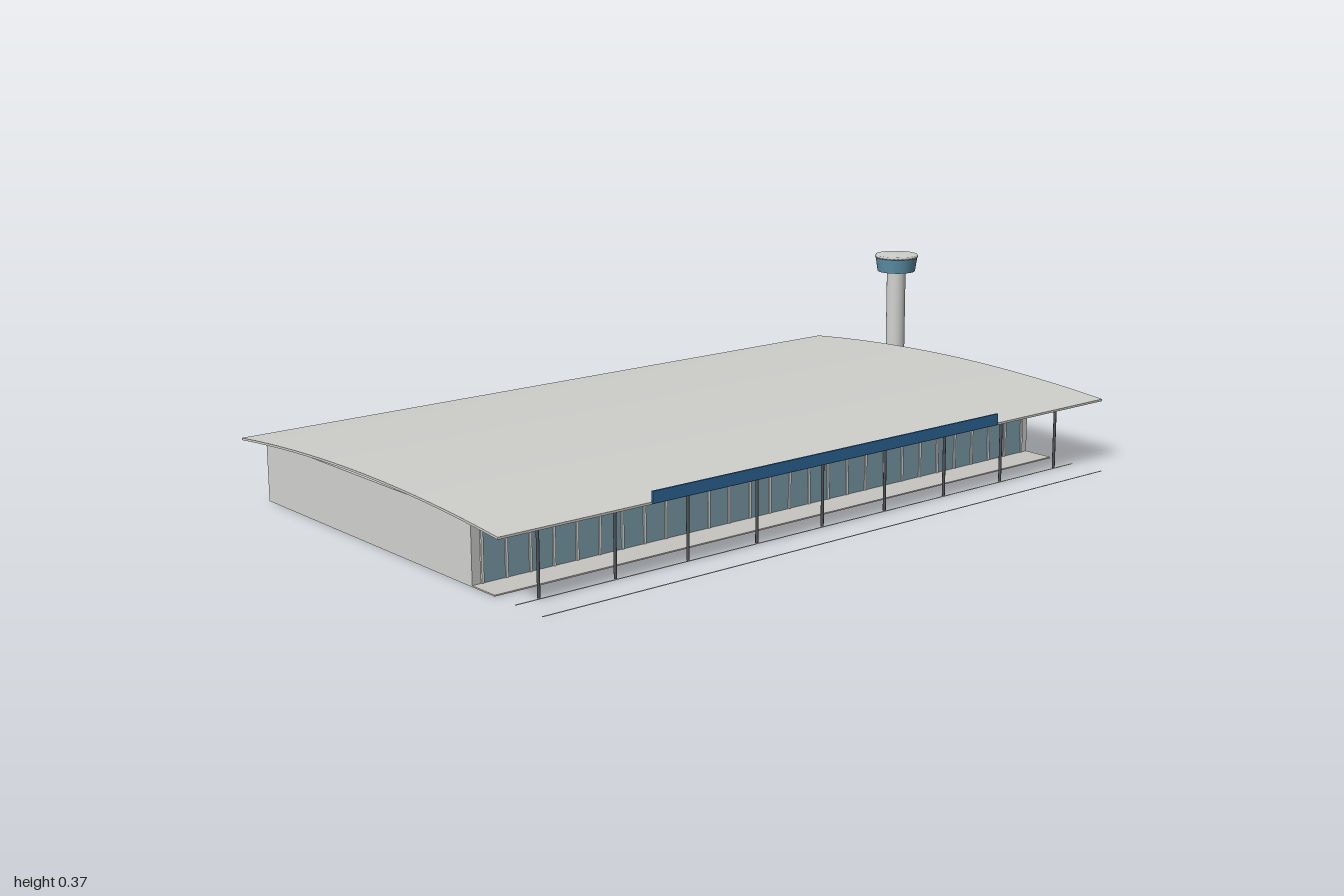
import * as THREE from 'three';

const paint = (name, color) => {
  const m = new THREE.MeshStandardMaterial({ color });
  m.name = name;
  return m;
};

export function createModel() {
  const model = new THREE.Group();
  model.name = 'terminal';

  const wall = paint('wallGrey', 0xd2d2d0);
  const roofGrey = paint('roofGrey', 0xcfcfcc);
  const glass = paint('glassBlue', 0x7ea2b0);
  const frame = paint('frameWhite', 0xe2e2df);
  const steel = paint('steelDark', 0x505356);
  const blue = paint('panelBlue', 0x2f6a9e);
  const paving = paint('pavingGrey', 0xc6c5c1);
  const towerGlass = paint('towerGlass', 0x5f93aa);

  const add = (name, geometry, material, parent = model) => {
    const mesh = new THREE.Mesh(geometry, material);
    mesh.name = name;
    parent.add(mesh);
    return mesh;
  };
  // Box given by its limits on each axis
  const box = (name, x0, x1, y0, y1, z0, z1, material, parent) => {
    const g = new THREE.BoxGeometry(x1 - x0, y1 - y0, z1 - z0);
    g.translate((x0 + x1) / 2, (y0 + y1) / 2, (z0 + z1) / 2);
    return add(name, g, material, parent);
  };
  const group = (name) => {
    const g = new THREE.Group();
    g.name = name;
    model.add(g);
    return g;
  };

  // Hall, paving and kerb lines
  box('hall', -0.94, 0.685, 0, 0.141, -0.53, 0.287, wall);
  box('walkway', -0.94, 0.685, 0, 0.003, 0.287, 0.365, paving);
  for (const z of [0.435, 0.525]) {
    box('laneLine', -0.94, 0.685, 0, 0.001, z - 0.0015, z + 0.0015, frame);
  }

  // Glazed front with slim mullions
  const facade = group('glazedFront');
  const gx0 = -0.917, gx1 = 0.662, bays = 27;
  box('glazing', gx0, gx1, 0.004, 0.141, 0.287, 0.289, glass, facade);
  for (let i = 0; i <= bays; i++) {
    const x = gx0 + ((gx1 - gx0) * i) / bays;
    box('mullion', x - 0.003, x + 0.003, 0.004, 0.141, 0.288, 0.292, frame, facade);
  }

  // Arched roof: curved section extruded along x
  const zFront = 0.47, zBack = -0.53, steps = 24, thick = 0.005;
  const archY = (t) => 0.152 + 0.0245 * (1 - (2 * t - 1) ** 2);
  const section = new THREE.Shape();
  for (let i = 0; i <= steps; i++) {
    const t = i / steps;
    const u = -zFront + t * (zFront - zBack);
    if (i === 0) section.moveTo(u, archY(t));
    else section.lineTo(u, archY(t));
  }
  for (let i = steps; i >= 0; i--) {
    const t = i / steps;
    section.lineTo(-zFront + t * (zFront - zBack), archY(t) + thick);
  }
  section.closePath();
  const roof = new THREE.ExtrudeGeometry(section, { depth: 1.745, bevelEnabled: false });
  roof.rotateY(Math.PI / 2);
  roof.translate(-1, 0, 0);
  add('roof', roof, roofGrey);

  // Blue panel on the front roof edge
  box('roofPanel', -0.63, 0.375, 0.154, 0.18, 0.469, 0.474, blue);

  // Canopy columns
  const columns = group('columns');
  for (let i = 0; i < 9; i++) {
    const c = add('column', new THREE.CylinderGeometry(0.0035, 0.0035, 0.154, 10), steel, columns);
    c.position.set(-0.88 + i * 0.188, 0.077, 0.429);
  }

  // Control tower: shaft, flared glass cab and low cap
  const tower = group('tower');
  tower.position.set(0.94, 0, -0.43);
  const shaft = add('towerShaft', new THREE.CylinderGeometry(0.0255, 0.0255, 0.33, 32), wall, tower);
  shaft.position.y = 0.165;
  const cab = add('towerCab', new THREE.CylinderGeometry(0.057, 0.051, 0.039, 32), towerGlass, tower);
  cab.position.y = 0.3475;
  const capProfile = [[0, 0.366], [0.058, 0.366], [0.059, 0.37], [0.057, 0.3735], [0, 0.3745]]
    .map(([r, y]) => new THREE.Vector2(r, y));
  add('towerCap', new THREE.LatheGeometry(capProfile, 32), roofGrey, tower);

  return model;
}
